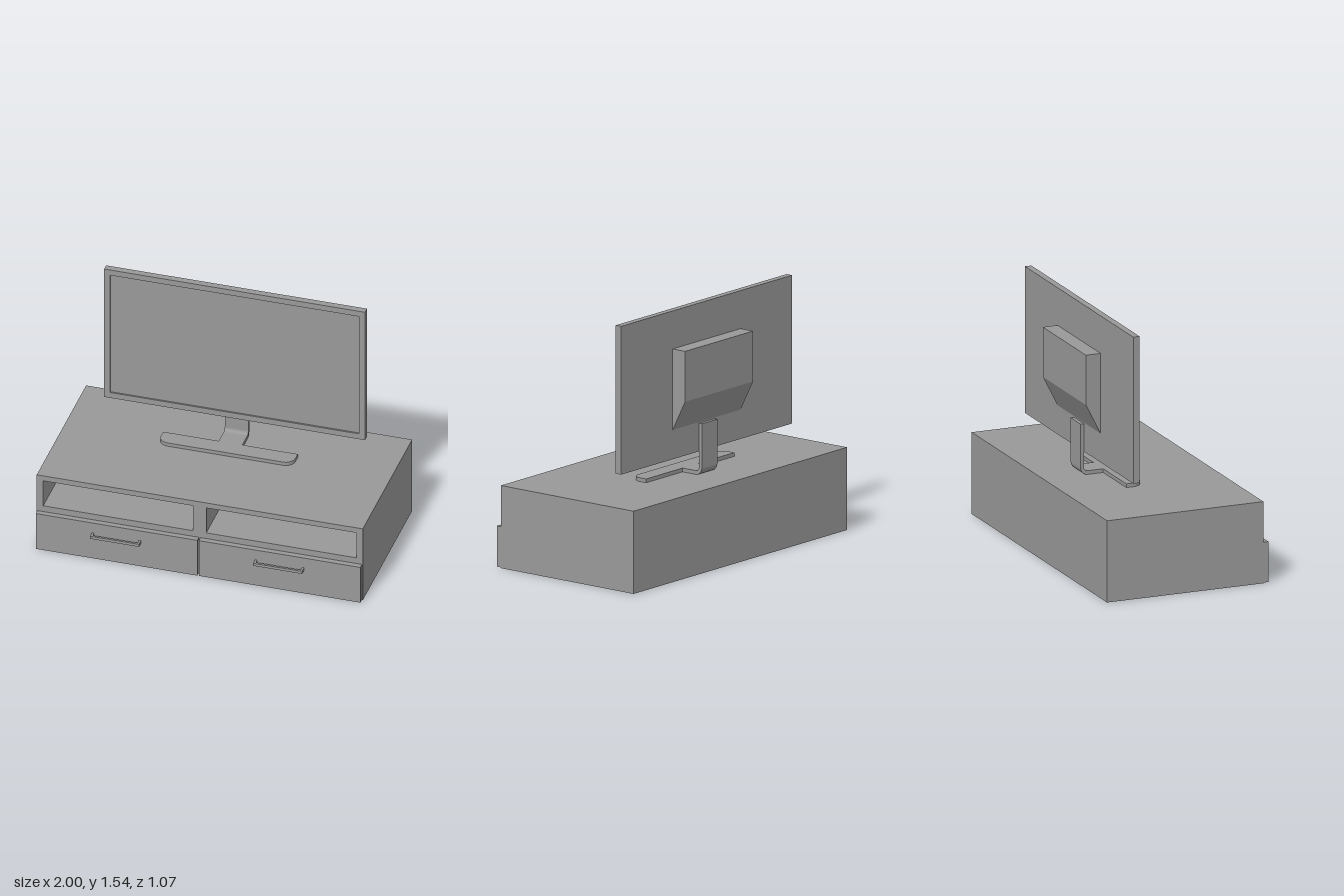
import * as THREE from 'three';

const grey = new THREE.MeshStandardMaterial({ color: 0x999999 });
grey.name = 'grey';

function add(parent, name, geometry) {
  const mesh = new THREE.Mesh(geometry, grey);
  mesh.name = name;
  parent.add(mesh);
  return mesh;
}

// Box given by its limits on each axis
function box(parent, name, x0, x1, y0, y1, z0, z1) {
  const g = new THREE.BoxGeometry(x1 - x0, y1 - y0, z1 - z0);
  g.translate((x0 + x1) / 2, (y0 + y1) / 2, (z0 + z1) / 2);
  return add(parent, name, g);
}

function rect(path, x0, x1, y0, y1) {
  path.moveTo(x0, y0);
  path.lineTo(x1, y0);
  path.lineTo(x1, y1);
  path.lineTo(x0, y1);
  path.closePath();
  return path;
}

// Rectangular frame with rectangular holes, extruded from z0 to z1
function frame(parent, name, outer, holes, z0, z1) {
  const shape = rect(new THREE.Shape(), ...outer);
  for (const h of holes) shape.holes.push(rect(new THREE.Path(), ...h));
  const g = new THREE.ExtrudeGeometry(shape, { depth: z1 - z0, bevelEnabled: false });
  g.translate(0, 0, z0);
  return add(parent, name, g);
}

// Side profile drawn as (-z, y), extruded across x and centred
function sideProfile(parent, name, shape, width) {
  const g = new THREE.ExtrudeGeometry(shape, { depth: width, bevelEnabled: false, curveSegments: 8 });
  g.translate(0, 0, -width / 2);
  g.rotateY(Math.PI / 2);
  return add(parent, name, g);
}

export function createModel() {
  const model = new THREE.Group();
  model.name = 'televisionOnCabinet';

  // Cabinet with two open compartments
  const cabinet = new THREE.Group();
  cabinet.name = 'cabinet';
  model.add(cabinet);
  frame(cabinet, 'carcass', [-1, 1, 0, 0.5],
    [[-0.96, -0.04, 0.29, 0.465], [0.04, 0.96, 0.29, 0.465]], -0.5, 0.463);
  box(cabinet, 'backPanel', -1, 1, 0, 0.5, -0.537, -0.5);

  // Drawer fronts with U-shaped pulls
  for (const side of [-1, 1]) {
    const drawer = new THREE.Group();
    drawer.name = side > 0 ? 'leftDrawer' : 'rightDrawer';
    drawer.position.x = side * 0.5;
    cabinet.add(drawer);
    box(drawer, 'drawerFront', -0.495, 0.495, 0.003, 0.25, 0.463, 0.497);
    const pull = new THREE.Shape();
    [[-0.15, 0], [-0.15, 0.04], [0.15, 0.04], [0.15, 0], [0.137, 0], [0.137, 0.027],
      [-0.137, 0.027], [-0.137, 0]].forEach(([x, z], i) => (i ? pull.lineTo(x, z) : pull.moveTo(x, z)));
    const g = new THREE.ExtrudeGeometry(pull, { depth: 0.018, bevelEnabled: false });
    g.rotateX(Math.PI / 2);
    g.translate(0, 0.182, 0.497);
    add(drawer, 'handle', g);
  }

  // Television panel with a recessed screen
  const television = new THREE.Group();
  television.name = 'television';
  model.add(television);
  frame(television, 'bezel', [-0.8, 0.8, 0.643, 1.54], [[-0.763, 0.763, 0.68, 1.503]], -0.252, -0.242);
  box(television, 'screenPanel', -0.8, 0.8, 0.643, 1.54, -0.283, -0.252);

  // Rear housing with a sloping underside
  const housing = new THREE.Shape();
  housing.moveTo(0.283, 0.82);
  housing.lineTo(0.377, 1.005);
  housing.lineTo(0.377, 1.31);
  housing.lineTo(0.283, 1.31);
  housing.closePath();
  sideProfile(television, 'rearHousing', housing, 0.636);

  // Bent neck running down the back and forward to the foot
  const neck = new THREE.Shape();
  neck.moveTo(0.155, 0.5);
  neck.lineTo(0.26, 0.5);
  neck.absarc(0.26, 0.545, 0.045, -Math.PI / 2, 0, false);
  neck.lineTo(0.305, 0.813);
  neck.lineTo(0.283, 0.813);
  neck.lineTo(0.283, 0.545);
  neck.absarc(0.261, 0.545, 0.022, 0, -Math.PI / 2, true);
  neck.lineTo(0.155, 0.523);
  neck.closePath();
  sideProfile(television, 'standNeck', neck, 0.145);

  // Foot with rounded front corners, drawn as (x, z) then laid flat
  const w = 0.413, r = 0.06, zFront = -0.053, zBack = -0.16;
  const foot = new THREE.Shape();
  foot.moveTo(-w, zBack);
  foot.lineTo(w, zBack);
  foot.lineTo(w, zFront - r);
  foot.absarc(w - r, zFront - r, r, 0, Math.PI / 2, false);
  foot.lineTo(-w + r, zFront);
  foot.absarc(-w + r, zFront - r, r, Math.PI / 2, Math.PI, false);
  foot.closePath();
  const footGeometry = new THREE.ExtrudeGeometry(foot, { depth: 0.023, bevelEnabled: false, curveSegments: 8 });
  footGeometry.rotateX(Math.PI / 2);
  footGeometry.translate(0, 0.523, 0);
  add(television, 'standFoot', footGeometry);

  return model;
}
